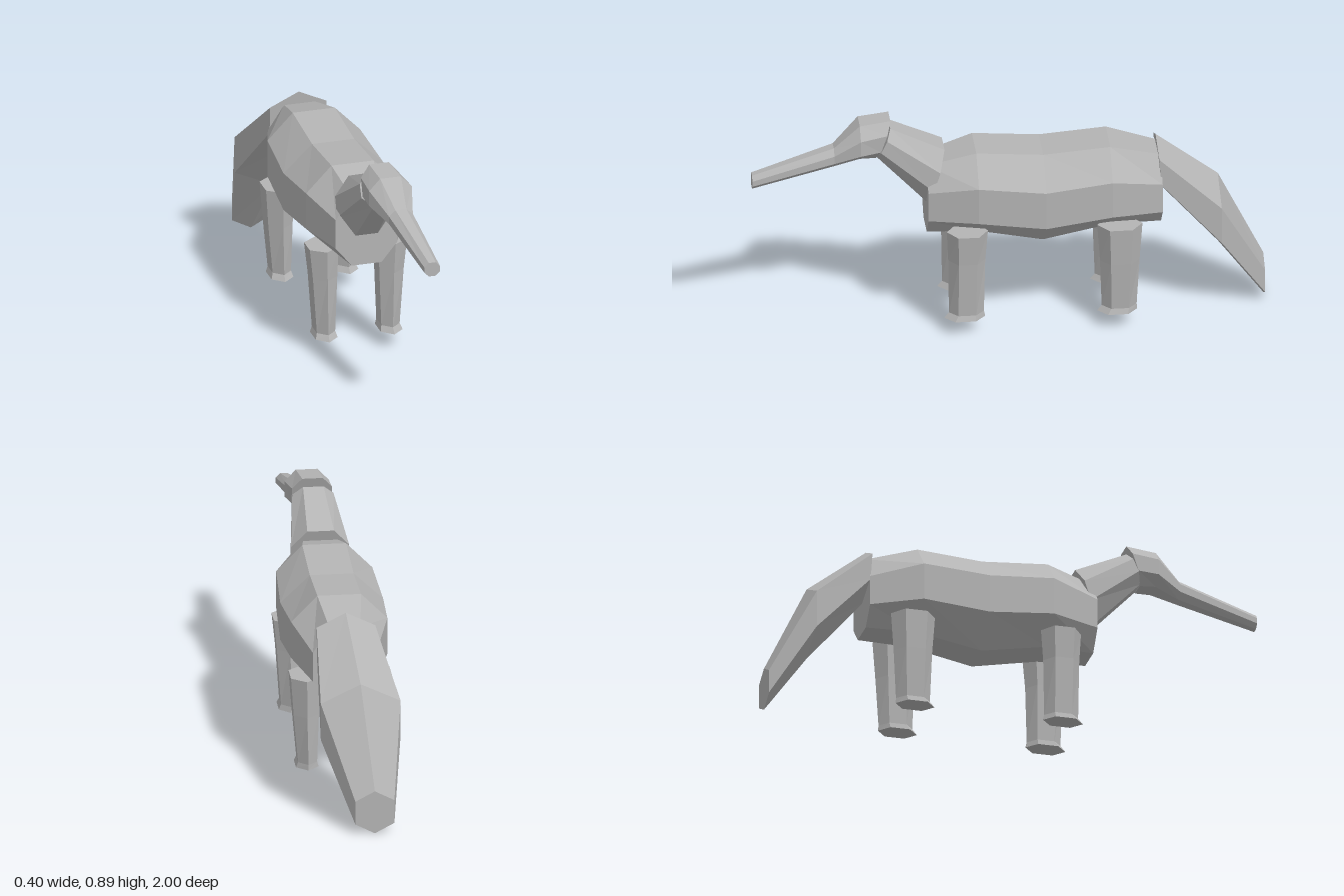
import * as THREE from 'three';

const grey = new THREE.MeshStandardMaterial({ color: 0xb4b4b4, flatShading: true });
grey.name = 'grey';

// Skin a list of rings (ordered back to front, each counterclockwise from +z) and cap both ends
function loft(name, rings) {
  const n = rings[0].length, pos = [];
  const tri = (a, b, c) => pos.push(...a, ...b, ...c);
  for (let i = 0; i + 1 < rings.length; i++) {
    for (let j = 0; j < n; j++) {
      const k = (j + 1) % n, p = rings[i], q = rings[i + 1];
      tri(p[j], p[k], q[k]);
      tri(p[j], q[k], q[j]);
    }
  }
  const first = rings[0], last = rings[rings.length - 1];
  for (let j = 1; j + 1 < n; j++) {
    tri(first[0], first[j + 1], first[j]);
    tri(last[0], last[j], last[j + 1]);
  }
  const geo = new THREE.BufferGeometry();
  geo.setAttribute('position', new THREE.Float32BufferAttribute(pos, 3));
  geo.computeVertexNormals();
  const mesh = new THREE.Mesh(geo, grey);
  mesh.name = name;
  return mesh;
}

// Eight-sided ring: centre x, half widths of base/side/top, four heights, z at bottom and top
function octagon(cx, [wb, ws, wt], [y0, y1, y2, y3], zBottom, zTop = zBottom) {
  const z = (y) => zBottom + (zTop - zBottom) * (y - y0) / (y3 - y0);
  return [[wb, y0], [ws, y1], [ws, y2], [wt, y3], [-wt, y3], [-ws, y2], [-ws, y1], [-wb, y0]]
    .map(([x, y]) => [cx + x, y, z(y)]);
}

// Six-sided ring with a ridge above and below
function hexagon(cx, w, [y0, y1, y2, y3], zBottom, zTop = zBottom) {
  const z = (y) => zBottom + (zTop - zBottom) * (y - y0) / (y3 - y0);
  return [[0, y0], [w, y1], [w, y2], [0, y3], [-w, y2], [-w, y1]]
    .map(([x, y]) => [cx + x, y, z(y)]);
}

// Leg as hexagonal rings [height, x, z, half width, half depth], drawn upright
function leg(name, side, sections) {
  const mesh = loft(name, sections.map(([y, x, z, w, d]) =>
    hexagon(side * x, w, [-z - d, -z - d / 2, -z + d / 2, -z + d], y)));
  mesh.geometry.rotateX(-Math.PI / 2);
  return mesh;
}

export function createModel() {
  const model = new THREE.Group();
  model.name = 'animal';

  model.add(loft('body', [
    octagon(0, [0.06, 0.125, 0.06], [0.41, 0.48, 0.6, 0.7], -0.59),
    octagon(0, [0.07, 0.187, 0.085], [0.41, 0.5, 0.65, 0.755], -0.39),
    octagon(0, [0.075, 0.2, 0.085], [0.36, 0.47, 0.625, 0.735], -0.13),
    octagon(0, [0.07, 0.187, 0.085], [0.41, 0.5, 0.65, 0.755], 0.13),
    octagon(0, [0.06, 0.125, 0.06], [0.41, 0.49, 0.61, 0.7], 0.32),
  ]));

  model.add(loft('neck', [
    octagon(0, [0.045, 0.113, 0.052], [0.535, 0.61, 0.69, 0.76], 0.32, 0.25),
    octagon(0.005, [0.035, 0.08, 0.04], [0.74, 0.775, 0.825, 0.86], 0.515, 0.46),
  ]));

  // Head runs into a long tapering snout that drifts to one side
  model.add(loft('headAndSnout', [
    octagon(0.008, [0.035, 0.078, 0.04], [0.735, 0.78, 0.85, 0.895], 0.515, 0.46),
    octagon(0.018, [0.04, 0.086, 0.042], [0.742, 0.775, 0.838, 0.885], 0.58),
    octagon(0.03, [0.022, 0.048, 0.022], [0.712, 0.735, 0.767, 0.79], 0.68),
    octagon(0.06, [0.014, 0.031, 0.014], [0.643, 0.66, 0.682, 0.7], 1),
  ]));

  // Heavy hexagonal tail, drooping and swinging to the right
  model.add(loft('tail', [
    hexagon(-0.07, 0.076, [0.005, 0.045, 0.14, 0.18], -1),
    hexagon(-0.035, 0.155, [0.26, 0.33, 0.48, 0.555], -0.82),
    hexagon(-0.005, 0.114, [0.535, 0.59, 0.7, 0.755], -0.59, -0.575),
  ]));

  for (const [label, side] of [['left', 1], ['right', -1]]) {
    model.add(leg(label + 'FrontLeg', side, [
      [0.068, 0.131, 0.18, 0.044, 0.08],
      [0.09, 0.13, 0.173, 0.037, 0.068],
      [0.32, 0.134, 0.172, 0.049, 0.072],
      [0.445, 0.138, 0.17, 0.058, 0.08],
    ]));
    model.add(leg(label + 'HindLeg', side, [
      [0.068, 0.131, -0.412, 0.044, 0.078],
      [0.09, 0.13, -0.42, 0.037, 0.068],
      [0.29, 0.136, -0.422, 0.049, 0.077],
      [0.445, 0.138, -0.422, 0.058, 0.088],
    ]));
  }

  return model;
}
